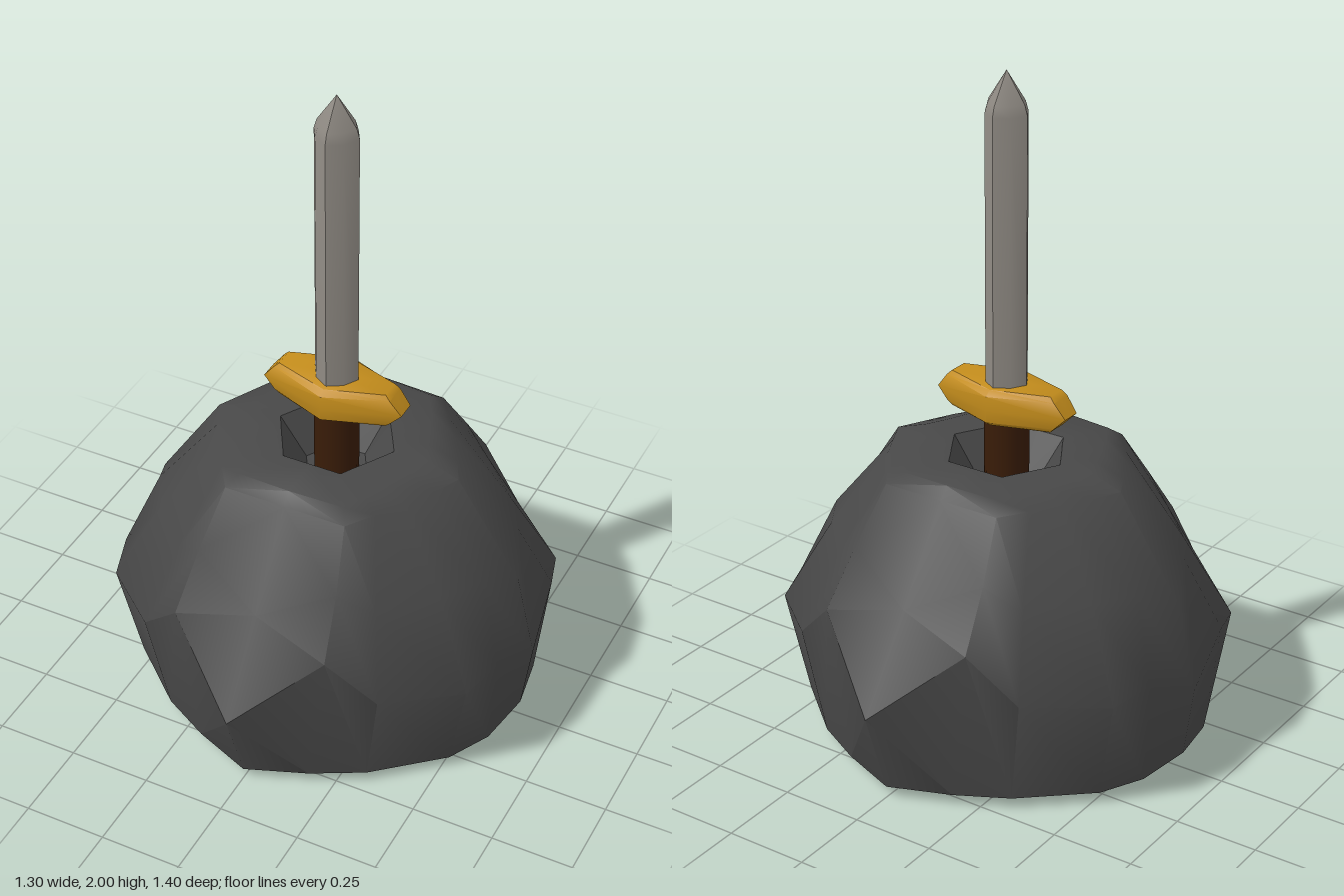
import * as THREE from 'three';
import { toCreasedNormals } from 'three/addons/utils/BufferGeometryUtils.js';

const material = (name, color) => {
  const m = new THREE.MeshStandardMaterial({ color });
  m.name = name;
  return m;
};

// Mirrors a quarter section (from the z axis round to the x axis) into a full loop.
function fullLoop(quarter) {
  const flip = (list, sx, sz) => list.map(([x, y, z]) => [x * sx, y, z * sz]);
  const back = [...quarter].reverse();
  return [
    ...quarter,
    ...flip(back.slice(1), 1, -1),
    ...flip(quarter.slice(1), -1, -1),
    ...flip(back.slice(1, -1), -1, 1),
  ];
}

// Skins stacked quarter sections, ordered along the surface from the underside up.
function loft(quarters, crease) {
  const rings = quarters.map(fullLoop);
  const n = rings[0].length;
  const index = [];
  for (let i = 0; i < rings.length - 1; i++) {
    for (let j = 0; j < n; j++) {
      const k = (j + 1) % n;
      const a = i * n + j, b = i * n + k, c = b + n, d = a + n;
      // Diagonals follow the mirror symmetry of the quarters
      if (Math.floor(j / (n / 4)) % 2 === 0) index.push(a, b, d, b, c, d);
      else index.push(a, b, c, a, c, d);
    }
  }
  const g = new THREE.BufferGeometry();
  g.setAttribute('position', new THREE.Float32BufferAttribute(rings.flat(2), 3));
  g.setIndex(index);
  return toCreasedNormals(g, crease);
}

// Quarter of a hexagon with a flat side towards z
const hexQuarter = (r, y) => [[0, 0.866], [0.5, 0.866], [0.62, 0.65], [0.75, 0.433], [0.88, 0.21], [1, 0]]
  .map(([x, z]) => [x * r, y, z * r]);

export function createModel() {
  const group = new THREE.Group();
  const stone = material('dark stone', 0x484848);
  const steel = material('grey steel', 0x8f8a83);
  const gold = material('gold', 0xc48d1c);
  const leather = material('dark brown grip', 0x391c08);

  const add = (name, geometry, mat) => {
    const mesh = new THREE.Mesh(geometry, mat);
    mesh.name = name;
    group.add(mesh);
  };

  // Faceted boulder with a hexagonal socket in its top
  add('boulder', loft([
    hexQuarter(0, 0.05),
    [[0, 0.02, 0.44], [0.16, 0.02, 0.44], [0.28, 0, 0.42], [0.43, 0, 0.27], [0.44, 0.02, 0.14], [0.44, 0.02, 0]],
    [[0, 0.035, 0.61], [0.18, 0.035, 0.54], [0.33, 0.035, 0.46], [0.52, 0.035, 0.295], [0.59, 0.04, 0.17], [0.62, 0.05, 0]],
    [[0, 0.3, 0.7], [0.24, 0.51, 0.555], [0.38, 0.37, 0.5], [0.58, 0.35, 0.33], [0.62, 0.37, 0.2], [0.65, 0.27, 0]],
    [[0, 0.565, 0.515], [0.22, 0.67, 0.44], [0.32, 0.6, 0.39], [0.455, 0.6, 0.25], [0.53, 0.6, 0.13], [0.59, 0.53, 0]],
    [[0, 0.83, 0.33], [0.19, 0.83, 0.33], [0.245, 0.83, 0.25], [0.305, 0.83, 0.17], [0.35, 0.83, 0.08], [0.39, 0.83, 0]],
    [[0, 0.865, 0.3], [0.165, 0.86, 0.29], [0.2, 0.86, 0.22], [0.23, 0.86, 0.15], [0.26, 0.862, 0.07], [0.29, 0.865, 0]],
    hexQuarter(0.185, 0.86),
    hexQuarter(0.1, 0.74),
    hexQuarter(0, 0.73),
  ], 0.8), stone);

  // Grip rising out of the socket
  const grip = new THREE.CylinderGeometry(0.066, 0.066, 0.28, 12);
  grip.translate(0, 0.85, 0);
  add('grip', grip, leather);

  // Crossguard: a diamond bar with chamfered rims and pointed ends
  const guardLayer = (y, x, end, z) => [[0, y, z], [x, y, end], [x, y, 0]];
  add('crossguard', loft([
    guardLayer(0.97, 0, 0, 0),
    guardLayer(0.97, 0.17, 0.03, 0.085),
    guardLayer(0.985, 0.185, 0.035, 0.105),
    guardLayer(1.02, 0.22, 0.03, 0.105),
    guardLayer(1.065, 0.185, 0.035, 0.105),
    guardLayer(1.08, 0.17, 0.03, 0.085),
    guardLayer(1.08, 0, 0, 0),
  ], 0.8), gold);

  // Blade: a softened diamond section with a pointed tip
  const bladeLayer = ([r, y]) => [[0, y, r], [0.63 * r, y, 0.63 * r], [r, y, 0]];
  add('blade', loft(
    [[0, 1.03], [0.069, 1.03], [0.069, 1.88], [0.06, 1.91], [0, 2]].map(bladeLayer), 0.85), steel);

  return group;
}
